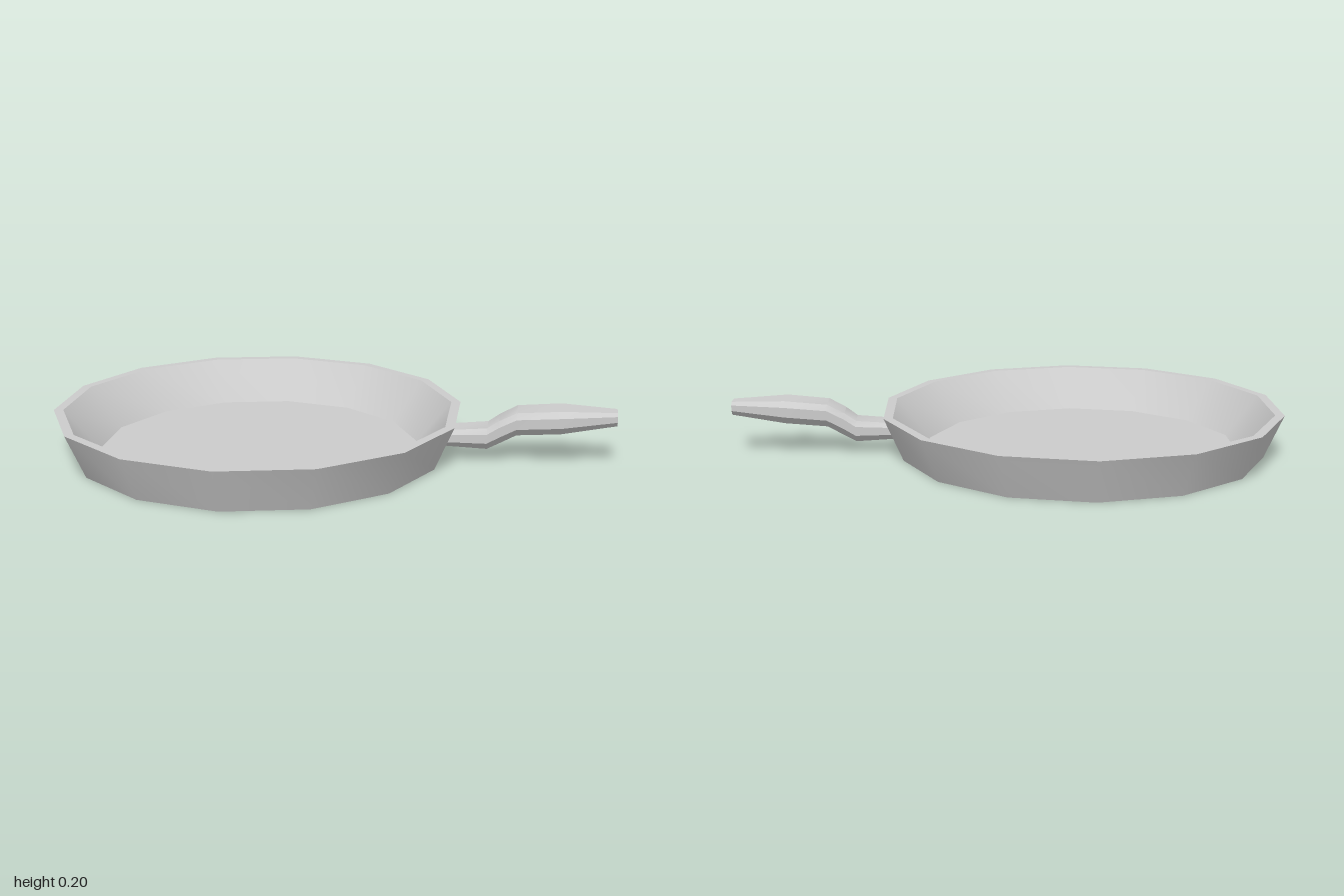
import * as THREE from 'three';
import { toCreasedNormals } from 'three/addons/utils/BufferGeometryUtils.js';

const material = new THREE.MeshStandardMaterial({ color: 0xcccccc });

// Lofts chamfered sections [x, z, halfWidth, yBottom, yTop] along a heading in the floor plane
function loftHandle(sections, heading) {
  const outline = [[-0.68, 1], [0.68, 1], [1, 0.55], [1, -0.3], [0.6, -1], [-0.6, -1], [-1, -0.3], [-1, 0.55]];
  const n = outline.length;
  const positions = [];
  const index = [];
  for (const [x, z, w, y0, y1] of sections) {
    for (const [p, q] of outline) {
      positions.push(
        x - Math.sin(heading) * w * p,
        (y0 + y1) / 2 + q * (y1 - y0) / 2,
        z + Math.cos(heading) * w * p
      );
    }
  }
  for (let i = 0; i < sections.length - 1; i++) {
    for (let j = 0; j < n; j++) {
      const a = i * n + j;
      const b = i * n + (j + 1) % n;
      index.push(a, b, a + n, b, b + n, a + n);
    }
  }
  // End caps
  const last = (sections.length - 1) * n;
  for (let j = 1; j < n - 1; j++) {
    index.push(0, j + 1, j, last, last + j, last + j + 1);
  }
  const geometry = new THREE.BufferGeometry();
  geometry.setAttribute('position', new THREE.Float32BufferAttribute(positions, 3));
  geometry.setIndex(index);
  return toCreasedNormals(geometry, 0.6);
}

export function createModel() {
  const group = new THREE.Group();

  // Fourteen-sided pan: underside, flared wall, rim, inner wall and cooking floor
  const profile = [[0, 0], [0.67, 0], [0.74, 0.16], [0.706, 0.16], [0.58, 0.012], [0, 0.012]]
    .map(([r, y]) => new THREE.Vector2(r, y));
  const panGeometry = new THREE.LatheGeometry(profile, 14).rotateY(Math.PI / 2);
  const pan = new THREE.Mesh(toCreasedNormals(panGeometry, 0.6), material);
  pan.name = 'pan';
  pan.position.x = -0.26;
  group.add(pan);

  // Handle: low neck, step up, broad grip, tapered end
  const handle = new THREE.Mesh(loftHandle([
    [0.4, 0.15, 0.06, 0.053, 0.112],
    [0.55, 0.177, 0.066, 0.047, 0.125],
    [0.59, 0.188, 0.07, 0.07, 0.155],
    [0.65, 0.202, 0.076, 0.105, 0.188],
    [0.8, 0.24, 0.08, 0.118, 0.202],
    [0.99, 0.277, 0.038, 0.147, 0.196]
  ], 0.23), material);
  handle.name = 'handle';
  group.add(handle);

  return group;
}
